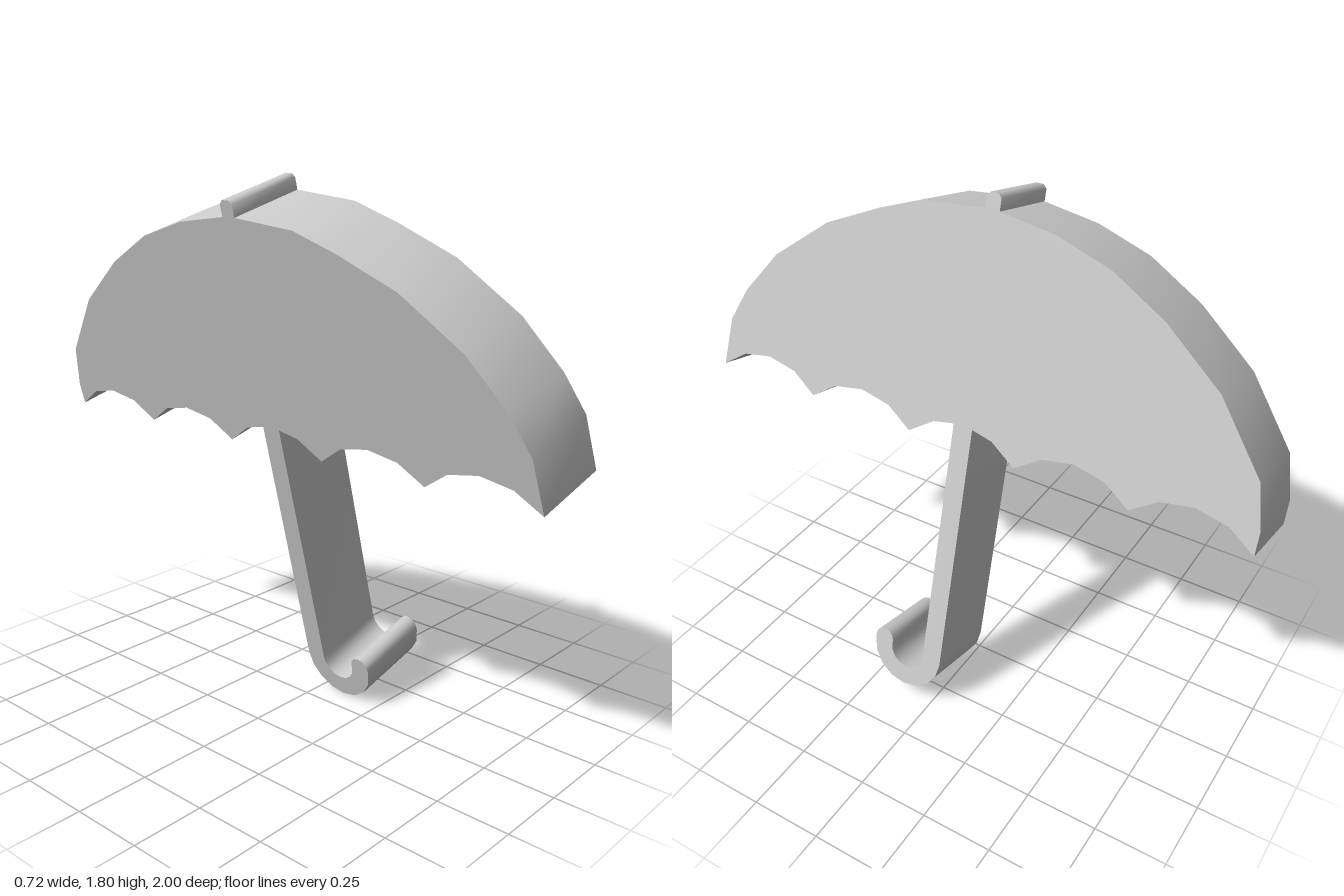
import * as THREE from 'three';
import { toCreasedNormals } from 'three/addons/utils/BufferGeometryUtils.js';

const DEPTH = 0.284;
const material = new THREE.MeshStandardMaterial({ color: 0xcccccc });

// Extrudes an outline of [z, y] points across x, centred on x = 0
function slab(name, outline) {
  const shape = new THREE.Shape(outline.map(([z, y]) => new THREE.Vector2(-z, y)));
  const geometry = new THREE.ExtrudeGeometry(shape, { depth: DEPTH, bevelEnabled: false });
  geometry.translate(0, 0, -DEPTH / 2).rotateY(Math.PI / 2);
  const mesh = new THREE.Mesh(toCreasedNormals(geometry, 0.8), material);
  mesh.name = name;
  return mesh;
}

// Points on a circular arc, angles in degrees from +z towards +y
function arc(z, y, r, from, to, steps) {
  return Array.from({ length: steps + 1 }, (_, i) => {
    const t = THREE.MathUtils.degToRad(from + ((to - from) * i) / steps);
    return [z + r * Math.cos(t), y + r * Math.sin(t)];
  });
}

export function createModel() {
  const model = new THREE.Group();
  model.name = 'umbrella';
  const tilted = new THREE.Group();
  tilted.name = 'tiltedUmbrella';
  tilted.position.y = 0.9075;
  tilted.rotation.z = THREE.MathUtils.degToRad(14.4);
  model.add(tilted);

  // Canopy: domed top edge, then a scalloped lower edge
  const dome = [
    [1, 0.064], [0.98, 0.238], [0.92, 0.358], [0.8, 0.513], [0.6, 0.668], [0.4, 0.761],
    [0.25, 0.818], [0.025, 0.843], [-0.025, 0.843], [-0.22, 0.818], [-0.41, 0.761],
    [-0.6, 0.658], [-0.8, 0.503], [-0.965, 0.29], [-1, 0.145],
  ];
  const scallops = [];
  for (let i = 0; i < 5; i++) {
    const z = -1 + i * 0.4;
    scallops.push([z, 0.064], [z + 0.09, 0.126]);
    if (i === 2) scallops.push([-0.035, 0.142], [0.035, 0.142]);
    else scallops.push([z + 0.2, 0.147]);
    scallops.push([z + 0.31, 0.126]);
  }
  tilted.add(slab('canopy', [...dome, ...scallops]));

  // Finial on top of the canopy
  tilted.add(slab('finial', [
    [-0.025, 0.843], [0.025, 0.843], [0.025, 0.883], [0.013, 0.895], [-0.013, 0.895], [-0.025, 0.883],
  ]));

  // Shaft and hooked handle in one outline, with a rounded tip
  tilted.add(slab('handle', [
    [0.035, 0.142], [-0.035, 0.142],
    ...arc(0.1, -0.759, 0.136, 180, 360, 8),
    ...arc(0.2, -0.746, 0.036, 0, 180, 6),
    ...arc(0.1, -0.759, 0.065, 360, 180, 8),
  ]));

  return model;
}
